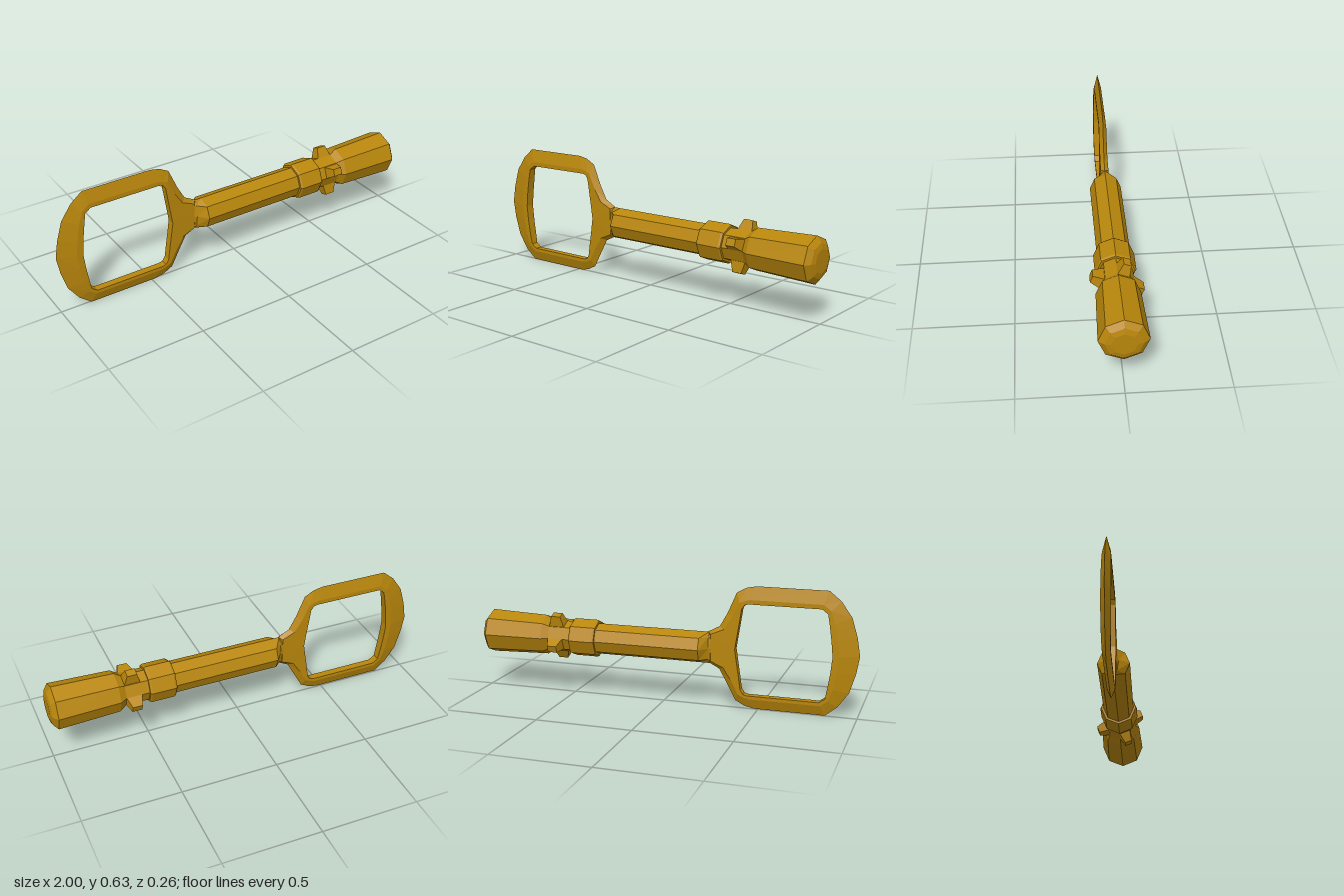
import * as THREE from 'three';

const SIDES = 8;
const CY = 0.306; // shaft axis height
const CZ = 0.005; // centre plane depth

const material = new THREE.MeshStandardMaterial({ color: 0xb8860b, flatShading: true });

// Skins a row of equal-sized point loops; closed joins the last loop to the first.
function skin(loops, closed) {
  const n = loops[0].length;
  const index = [];
  const last = closed ? loops.length : loops.length - 1;
  for (let i = 0; i < last; i++) {
    const p = i * n;
    const q = ((i + 1) % loops.length) * n;
    for (let j = 0; j < n; j++) {
      const k = (j + 1) % n;
      index.push(p + j, p + k, q + j, p + k, q + k, q + j);
    }
  }
  const geometry = new THREE.BufferGeometry();
  geometry.setAttribute('position', new THREE.Float32BufferAttribute(loops.flat(2), 3));
  geometry.setIndex(index);
  const flat = geometry.toNonIndexed();
  flat.computeVertexNormals();
  return flat;
}

// Octagonal bar along x from stations [x, half height, half depth].
function bar(stations) {
  return skin(stations.map(([x, ry, rz = ry]) =>
    Array.from({ length: SIDES }, (_, j) => {
      const a = (j / SIDES) * Math.PI * 2;
      return [x, CY + ry * Math.cos(a), CZ + rz * Math.sin(a)];
    })), false);
}

// Bevelled ring handle; each row is one upper cross-section:
// outer x, outer rise, inner x, inner rise, bevel share, half thickness
function bow() {
  const upper = [
    [-1.0, 0, -0.87, 0, 0.75, 0.023],
    [-0.985, 0.09, -0.862, 0.08, 0.75, 0.023],
    [-0.955, 0.19, -0.85, 0.16, 0.75, 0.022],
    [-0.9, 0.268, -0.84, 0.215, 0.75, 0.02],
    [-0.84, 0.317, -0.81, 0.237, 0.75, 0.019],
    [-0.48, 0.317, -0.445, 0.237, 0.75, 0.019],
    [-0.43, 0.307, -0.425, 0.232, 0.75, 0.019],
    [-0.38, 0.28, -0.41, 0.21, 0.6, 0.02],
    [-0.335, 0.185, -0.398, 0.13, 0.4, 0.02],
    [-0.295, 0.112, -0.387, 0.06, 0.25, 0.02],
    [-0.235, 0.08, -0.378, 0, 0.12, 0.021],
  ];
  const lower = upper.slice(1).reverse()
    .map(([ox, oy, ix, iy, t, h]) => [ox, -oy, ix, -iy, t, h]);
  const loops = [...upper, ...lower].map(([ox, oRise, ix, iRise, t, h]) => {
    const oy = 0.32 + oRise - (ox > -0.36 ? 0.01 : 0);
    const iy = 0.31 + iRise;
    const mx = ox + (ix - ox) * t;
    const my = oy + (iy - oy) * t;
    return [
      [ox, oy, CZ], [mx, my, CZ + h], [ix, iy, CZ + h],
      [ix, iy, CZ - h], [mx, my, CZ - h],
    ];
  });
  return skin(loops, true);
}

export function createModel() {
  const model = new THREE.Group();
  const add = (name, geometry, parent = model) => {
    const mesh = new THREE.Mesh(geometry, material);
    mesh.name = name;
    parent.add(mesh);
    return mesh;
  };

  add('bow', bow());

  // Flat web flaring into the round shaft
  add('neck', bar([
    [-0.28, 0, 0], [-0.26, 0.085, 0.019], [-0.24, 0.082, 0.028],
    [-0.2, 0.082, 0.082],
  ]));

  add('shaft', bar([[-0.2, 0.082], [0.36, 0.082]]));

  add('collar', bar([
    [0.36, 0.075], [0.36, 0.094], [0.37, 0.1], [0.49, 0.1],
    [0.5, 0.094], [0.5, 0.075],
  ]));

  // Narrow waist, then the barrel tip with its bevelled end
  add('tip', bar([
    [0.49, 0.083], [0.62, 0.083], [0.655, 0.106], [0.97, 0.117],
    [0.993, 0.088], [1.0, 0.06], [1.0, 0],
  ]));

  // Four tapered lugs around the waist
  const lugs = new THREE.Group();
  lugs.name = 'lugs';
  lugs.position.set(0.58, CY, CZ);
  model.add(lugs);
  const lugShape = new THREE.CylinderGeometry(0.05 / Math.SQRT2, 0.09 / Math.SQRT2, 0.07, 4)
    .rotateY(Math.PI / 4).scale(1, 1, 0.75).translate(0, 0.096, 0);
  for (let i = 0; i < 4; i++) {
    const lug = add('lug', lugShape, lugs);
    lug.rotation.x = THREE.MathUtils.degToRad(-21 + i * 90);
  }

  return model;
}
